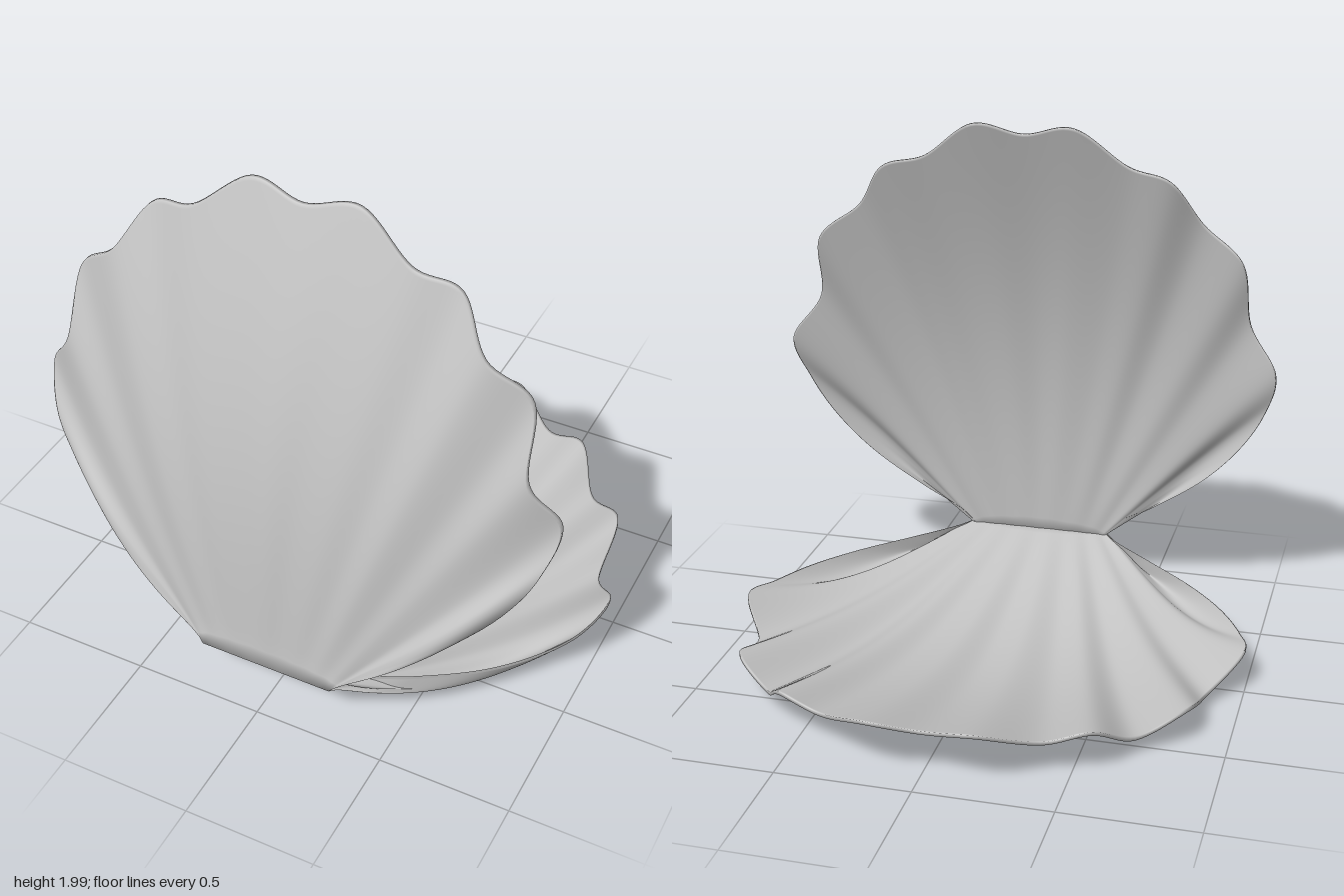
import * as THREE from 'three';

// Half rim, from the middle of the scalloped edge round to the hinge corner:
// [x, distance from hinge, lower rim height, upper rim depth, bulge along the ray]
const RIM = [
  [0, 1.82, 0.19, 0.54, 0.17],
  [0.2, 1.855, 0.22, 0.52, 0.16],
  [0.4, 1.71, 0.145, 0.565, 0.14],
  [0.57, 1.66, 0.18, 0.55, 0.13],
  [0.69, 1.48, 0.08, 0.63, 0.1],
  [0.85, 1.34, 0.14, 0.6, 0.09],
  [0.88, 1.07, 0.065, 0.685, 0.055],
  [0.99, 0.89, 0.16, 0.64, 0.08],
  [0.95, 0.7, 0.14, 0.71, 0.09],
  [0.85, 0.52, 0.145, 0.75, 0.085],
  [0.7, 0.35, 0.155, 0.79, 0.07],
  [0.5, 0.195, 0.175, 0.83, 0.05],
  [0.34, 0.09, 0.2, 0.86, 0.02],
  [0.26, 0, 0.215, 0.88, 0],
];
const HINGE_HALF = 0.26;
const COLUMNS = 260;
const STEPS = 36;

// Mirror the half rim into one smooth curve running from -x to +x
const mirrored = (pick) => {
  const half = RIM.map(pick);
  const left = half.slice(1).reverse().map((p) => new THREE.Vector3(-p[0], p[1], p[2]));
  const right = half.map((p) => new THREE.Vector3(...p));
  return new THREE.CatmullRomCurve3([...left, ...right], false, 'catmullrom', 0.5);
};

// One ribbed valve: rays fan out from the hinge to the rim, outer and inner skins in a closed loop
function valveGeometry({ heightColumn, hingeHeight, outward, bulgeScale, hingeThickness, place, flip }) {
  const outline = mirrored((r) => [r[0], r[1], r[heightColumn]]);
  const bulges = mirrored((r) => [r[0], r[4], 0]);
  const positions = [];
  const indices = [];
  const loop = 2 * (STEPS + 1);

  for (let i = 0; i <= COLUMNS; i++) {
    const s = i / COLUMNS;
    const rim = outline.getPoint(s);
    const bulge = bulges.getPoint(s).y * bulgeScale;
    const k = 2 * s - 1;
    const side = Math.min(1, Math.abs(k) / 0.6);
    const hingeX = HINGE_HALF * Math.sign(k) * Math.sin((side * Math.PI) / 2);
    const skew = 1 + 0.35 * THREE.MathUtils.smoothstep(Math.abs(k), 0.45, 0.65);

    for (let j = 0; j < loop; j++) {
      const outer = j <= STEPS;
      const u = (outer ? j : loop - 1 - j) / STEPS;
      const t = 1 - Math.pow(1 - u, 1.4);
      const thickness = THREE.MathUtils.lerp(hingeThickness, 0.014, Math.sqrt(t));
      const h = THREE.MathUtils.lerp(hingeHeight, rim.z, t)
        + outward * (bulge * Math.sin(Math.PI * Math.pow(t, skew)) + (outer ? thickness : 0));
      positions.push(...place(THREE.MathUtils.lerp(hingeX, rim.x, t), rim.y * t, h));
    }
  }

  for (let i = 0; i < COLUMNS; i++) {
    for (let j = 0; j < loop; j++) {
      const next = (j + 1) % loop;
      const a = i * loop + j;
      const b = a + loop;
      const c = (i + 1) * loop + next;
      const d = i * loop + next;
      if (flip) indices.push(a, c, b, a, d, c);
      else indices.push(a, b, c, a, c, d);
    }
  }

  const geometry = new THREE.BufferGeometry();
  geometry.setAttribute('position', new THREE.Float32BufferAttribute(positions, 3));
  geometry.setIndex(indices);
  geometry.computeVertexNormals();
  return geometry;
}

export function createModel() {
  const model = new THREE.Group();
  model.name = 'openShell';
  const shellGrey = new THREE.MeshStandardMaterial({ color: 0xc4c4c4 });
  shellGrey.name = 'shell grey';

  // Lower valve lies on the ground and opens away from the hinge
  const lower = new THREE.Mesh(valveGeometry({
    heightColumn: 2, hingeHeight: 0.215, outward: -1, bulgeScale: 1, hingeThickness: 0.045,
    place: (x, v, h) => [x, h, 0.92 - v], flip: true,
  }), shellGrey);
  lower.name = 'lowerValve';

  // Upper valve stands up from the hinge
  const upper = new THREE.Mesh(valveGeometry({
    heightColumn: 3, hingeHeight: 0.88, outward: 1, bulgeScale: 0.6, hingeThickness: 0.05,
    place: (x, v, h) => [x, 0.18 + v * 0.98, h], flip: false,
  }), shellGrey);
  upper.name = 'upperValve';

  model.add(lower, upper);
  return model;
}
